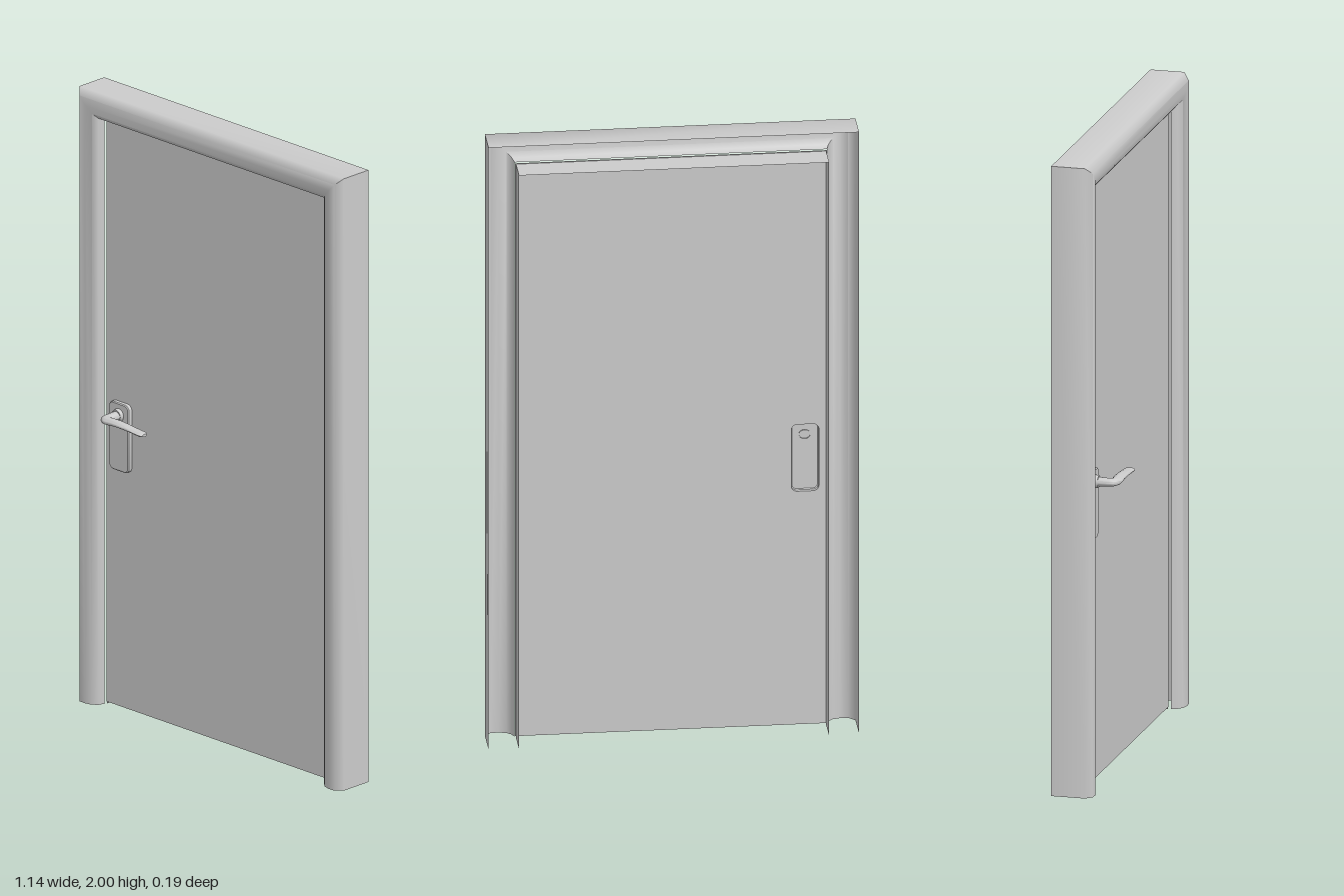
import * as THREE from 'three';
import { toCreasedNormals } from 'three/addons/utils/BufferGeometryUtils.js';

const material = new THREE.MeshStandardMaterial({ color: 0xcccccc, side: THREE.DoubleSide });
const HALF = 0.48; // half width of the opening
const TOP = 1.91; // height of the opening
const DOOR_Z = -0.006;

function add(group, name, geometry) {
  const mesh = new THREE.Mesh(geometry, material);
  mesh.name = name;
  group.add(mesh);
  return mesh;
}

// Skin a list of equally long rows of points; closed rows wrap around.
function skin(rows, closed = false) {
  const n = rows[0].length;
  const index = [];
  for (let i = 0; i < rows.length - 1; i++) {
    for (let j = 0; j < (closed ? n : n - 1); j++) {
      const k = (j + 1) % n;
      const a = i * n + j, b = i * n + k, c = (i + 1) * n + k, d = (i + 1) * n + j;
      index.push(a, b, d, b, c, d);
    }
  }
  const geometry = new THREE.BufferGeometry();
  geometry.setAttribute('position', new THREE.Float32BufferAttribute(rows.flat(2), 3));
  geometry.setIndex(index);
  return geometry;
}

// Sweep a profile of [outward offset, z] up, across and down the opening, with mitred corners.
function surround(profile) {
  const corners = [
    ([u, z]) => [-HALF - u, 0, z],
    ([u, z]) => [-HALF - u, TOP + u, z],
    ([u, z]) => [HALF + u, TOP + u, z],
    ([u, z]) => [HALF + u, 0, z],
  ];
  return toCreasedNormals(skin(corners.map((corner) => profile.map(corner))), 0.87);
}

function roundedRect(shape, x, y, w, h, r) {
  shape.moveTo(x + r, y);
  shape.lineTo(x + w - r, y);
  shape.absarc(x + w - r, y + r, r, -Math.PI / 2, 0);
  shape.absarc(x + w - r, y + h - r, r, 0, Math.PI / 2);
  shape.absarc(x + r, y + h - r, r, Math.PI / 2, Math.PI);
  shape.absarc(x + r, y + r, r, Math.PI, Math.PI * 1.5);
  return shape;
}

// Lever: oval sections along a path that leaves the door, bends and droops slightly.
function leverGeometry() {
  const path = new THREE.CurvePath();
  const v = (x, y, z) => new THREE.Vector3(x, y, z);
  path.add(new THREE.LineCurve3(v(-0.412, 0.964, 0.005), v(-0.412, 0.964, 0.053)));
  path.add(new THREE.QuadraticBezierCurve3(v(-0.412, 0.964, 0.053), v(-0.412, 0.965, 0.073), v(-0.39, 0.966, 0.073)));
  path.add(new THREE.CubicBezierCurve3(v(-0.39, 0.966, 0.073), v(-0.34, 0.972, 0.073), v(-0.29, 0.964, 0.073), v(-0.236, 0.961, 0.073)));
  const rows = [];
  const steps = 48, sides = 16;
  for (let i = 0; i <= steps; i++) {
    const t = i / steps;
    const p = path.getPointAt(t);
    const tangent = path.getTangentAt(t);
    const across = new THREE.Vector3(-tangent.z, 0, tangent.x).normalize();
    const end = Math.max(0, (t - 0.94) / 0.06);
    const round = Math.sqrt(1 - 0.6 * end * end);
    const width = 0.0175 * round;
    const height = (0.015 - 0.008 * Math.min(1, t * 1.25)) * round;
    rows.push(Array.from({ length: sides }, (_, j) => {
      const a = (j / sides) * Math.PI * 2;
      const w = Math.cos(a) * width;
      return [p.x + across.x * w, p.y + Math.sin(a) * height, p.z + across.z * w];
    }));
  }
  // close the tip
  const tip = path.getPointAt(1);
  rows.push(rows[steps].map(() => [tip.x, tip.y, tip.z]));
  return toCreasedNormals(skin(rows, true), 0.9);
}

export function createModel() {
  const model = new THREE.Group();
  model.name = 'door';

  // Hollow outer casing with a chamfered outside and a rounded inside
  add(model, 'frameCasing', surround([
    [0.09, -0.087], [0.09, 0.02], [0.07, 0.04], [0.045, 0.041],
    [0.022, 0.035], [0.007, 0.022], [0, 0.002],
  ]));

  // Thin lining running back from the leaf
  add(model, 'frameLining', surround([[-0.003, DOOR_Z], [-0.003, -0.095]]));

  // Door leaf with a cut-out behind the handle plate
  const leaf = new THREE.Shape();
  leaf.moveTo(-HALF, 0.006);
  leaf.lineTo(HALF, 0.006);
  leaf.lineTo(HALF, TOP);
  leaf.lineTo(-HALF, TOP);
  leaf.closePath();
  leaf.holes.push(roundedRect(new THREE.Path(), -0.455, 0.78, 0.085, 0.222, 0.018));
  add(model, 'doorLeaf', new THREE.ShapeGeometry(leaf, 6)).position.z = DOOR_Z;

  // Handle set
  const handle = new THREE.Group();
  handle.name = 'handle';
  model.add(handle);

  // Hollow plate: side wall, slightly bevelled edge and face
  const outline = (inset) => roundedRect(new THREE.Shape(), -0.455 + inset, 0.78 + inset,
    0.085 - 2 * inset, 0.222 - 2 * inset, 0.018 - inset).getPoints(6);
  const rows = [[0, DOOR_Z], [0, 0.006], [0.003, 0.009]]
    .map(([inset, z]) => outline(inset).map((p) => [p.x, p.y, z]));
  add(handle, 'plateRim', toCreasedNormals(skin(rows, true), 0.6));
  add(handle, 'plateFace', new THREE.ShapeGeometry(new THREE.Shape(outline(0.003)))).position.z = 0.009;

  // Round collar under the lever
  const collar = new THREE.CylinderGeometry(0.019, 0.021, 0.012, 24).rotateX(Math.PI / 2);
  add(handle, 'collar', collar).position.set(-0.412, 0.964, 0.015);

  add(handle, 'lever', leverGeometry());
  return model;
}
